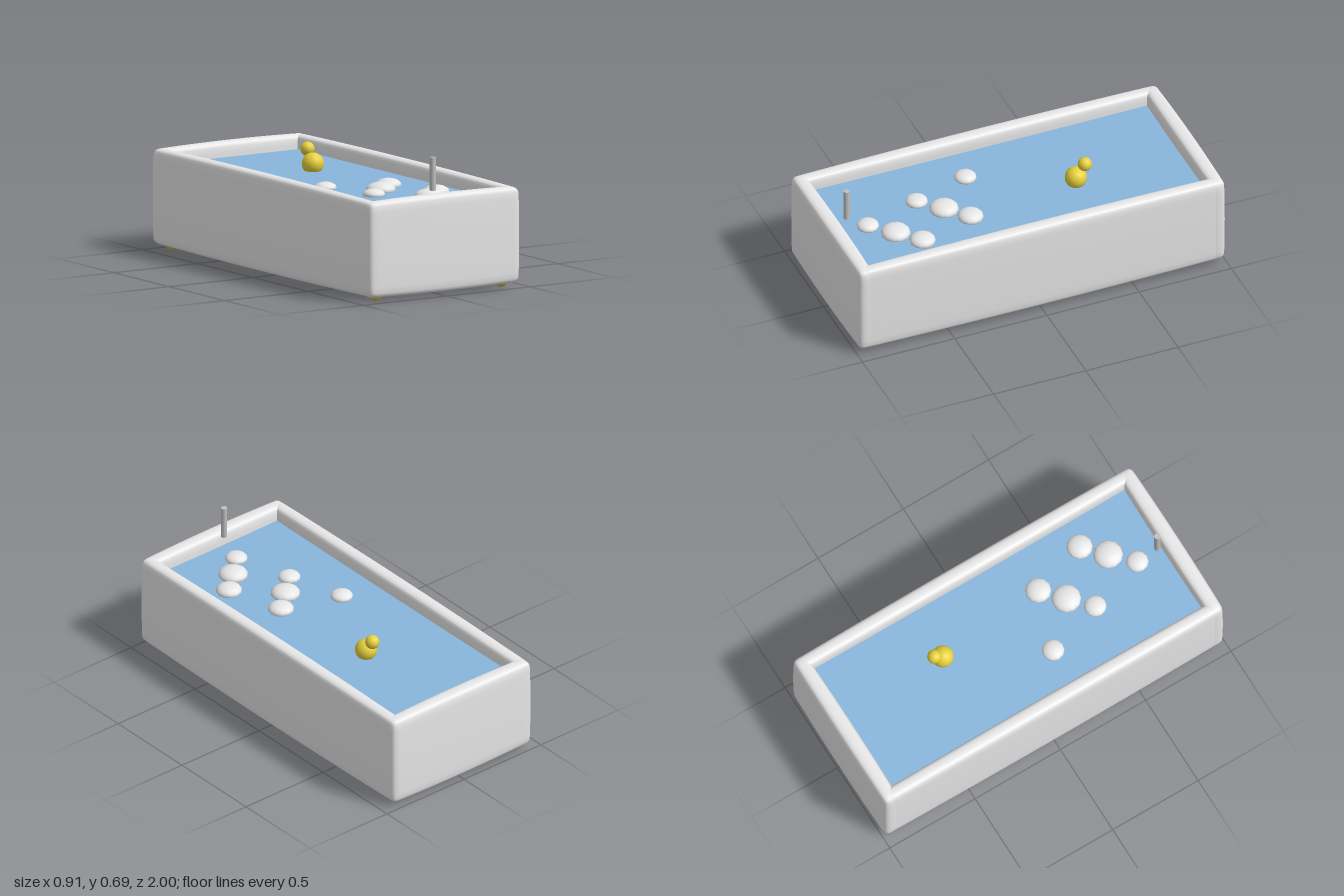
import * as THREE from 'three';
import { mergeVertices } from 'three/addons/utils/BufferGeometryUtils.js';

const mat = (name, color) => {
  const m = new THREE.MeshStandardMaterial({ color });
  m.name = name;
  return m;
};

// Slab lying along z: rounded edges, softly thinning toward its ends
function softWall(hx, hy, hz, r) {
  const geo = new THREE.BoxGeometry(2, 2, 2, 10, 14, 28);
  const p = geo.attributes.position;
  const half = new THREE.Vector3(hx, hy, hz);
  const v = new THREE.Vector3();
  const core = new THREE.Vector3();
  const inner = half.clone().subScalar(r);
  // Spread grid lines so that they gather at the rounded edges
  const spread = (t) => Math.sin(t * Math.PI / 2);
  for (let i = 0; i < p.count; i++) {
    v.fromBufferAttribute(p, i);
    v.set(spread(v.x), spread(v.y), spread(v.z)).multiply(half);
    core.copy(v).clamp(inner.clone().negate(), inner);
    v.sub(core).setLength(r).add(core);
    const u = v.z / hz, w = v.y / hy;
    v.x *= 1 - 0.1 * u * u - 0.07 * w * w;
    v.y *= 1 - 0.03 * u * u;
    v.z *= 1 - 0.008 * w * w;
    p.setXYZ(i, v.x, v.y, v.z);
  }
  geo.deleteAttribute('normal');
  geo.deleteAttribute('uv');
  const smooth = mergeVertices(geo, 1e-5);
  smooth.computeVertexNormals();
  return smooth;
}

export function createModel() {
  const group = new THREE.Group();
  const enamel = mat('white enamel', 0xebebeb);
  const waterBlue = mat('water blue', 0x88b6dc);
  const foam = mat('foam white', 0xf0f0f0);
  const yellow = mat('duck yellow', 0xe8d23c);
  const gold = mat('foot gold', 0xc9b45c);
  const metal = mat('tap metal', 0xc0c0c0);

  const add = (name, geo, material, x, y, z, parent = group) => {
    const mesh = new THREE.Mesh(geo, material);
    mesh.name = name;
    mesh.position.set(x, y, z);
    parent.add(mesh);
    return mesh;
  };

  // Walls: two long sides and two ends that overlap at the corners
  const sideGeo = softWall(0.044, 0.248, 0.992, 0.034);
  const endGeo = softWall(0.047, 0.248, 0.453, 0.034).rotateY(Math.PI / 2);
  for (const s of [1, -1]) {
    add(s > 0 ? 'leftWall' : 'rightWall', sideGeo, enamel, s * 0.412, 0.268, 0);
    add(s > 0 ? 'frontWall' : 'backWall', endGeo, enamel, 0, 0.268, s * 0.953);
  }

  // Tub floor and water
  add('tubFloor', new THREE.BoxGeometry(0.84, 0.06, 1.92), enamel, 0, 0.055, 0);
  add('water', new THREE.BoxGeometry(0.8, 0.02, 1.88), waterBlue, 0, 0.43, 0);

  // Feet
  const footGeo = new THREE.SphereGeometry(0.037, 12, 10);
  for (const x of [-0.377, 0.377])
    for (const z of [-0.92, 0.92]) add('foot', footGeo, gold, x, 0.037, z);

  // Flattened foam bubbles: x, z, radius
  const bubbles = [
    [-0.17, 0.16, 0.057], [0.14, 0.262, 0.066], [0.03, 0.36, 0.075],
    [-0.08, 0.462, 0.057], [0.23, 0.56, 0.066], [0.12, 0.66, 0.075], [0.012, 0.765, 0.057],
  ];
  for (const [x, z, r] of bubbles) {
    const b = add('bubble', new THREE.SphereGeometry(r, 12, 10), foam, x, 0.448, z);
    b.scale.y = 0.5;
  }

  // Toy duck
  const duck = new THREE.Group();
  duck.name = 'duck';
  group.add(duck);
  add('duckBody', new THREE.SphereGeometry(0.056, 14, 12), yellow, 0.082, 0.476, -0.333, duck);
  add('duckHead', new THREE.SphereGeometry(0.036, 14, 12), yellow, 0.082, 0.544, -0.382, duck);

  // Tap
  add('tap', new THREE.CylinderGeometry(0.016, 0.016, 0.168, 12), metal, 0, 0.602, 0.875);
  return group;
}
